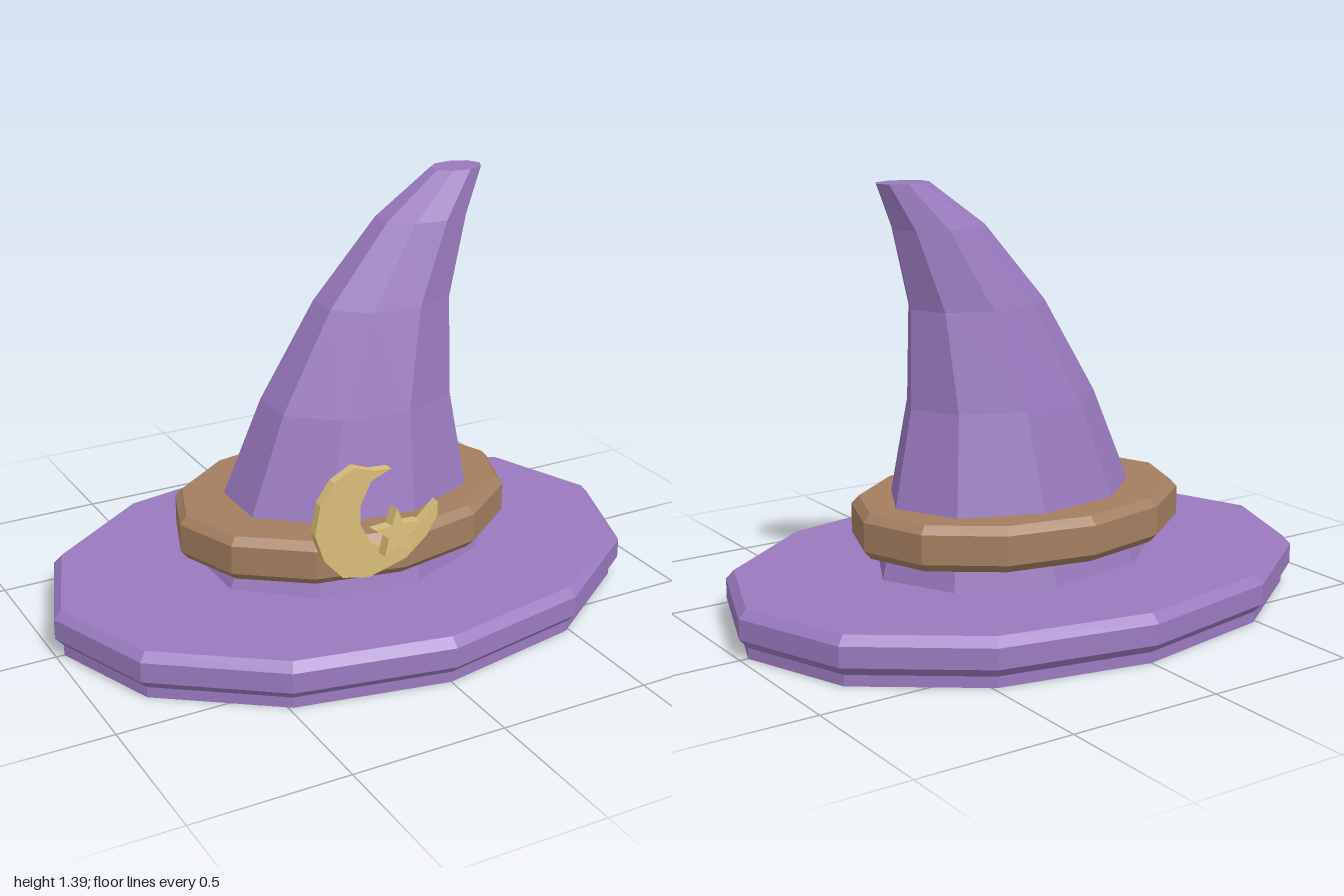
import * as THREE from 'three';

const material = (color) => new THREE.MeshStandardMaterial({ color, flatShading: true });

// Closed solid through stacked elliptical rings [y, centreX, radiusX, radiusZ]
function loft(rings, sides) {
  const pos = [];
  const point = ([y, cx, rx, rz], i) => {
    const a = (i / sides) * Math.PI * 2;
    return [cx + rx * Math.cos(a), y, rz * Math.sin(a)];
  };
  const tri = (a, b, c) => pos.push(...a, ...b, ...c);
  const low = rings[0], top = rings[rings.length - 1];
  for (let i = 0; i < sides; i++) {
    for (let r = 0; r < rings.length - 1; r++) {
      const a = point(rings[r], i), b = point(rings[r + 1], i);
      const c = point(rings[r + 1], i + 1), d = point(rings[r], i + 1);
      tri(a, b, c);
      tri(a, c, d);
    }
    tri([low[1], low[0], 0], point(low, i), point(low, i + 1));
    tri([top[1], top[0], 0], point(top, i + 1), point(top, i));
  }
  const g = new THREE.BufferGeometry();
  g.setAttribute('position', new THREE.Float32BufferAttribute(pos, 3));
  g.computeVertexNormals();
  return g;
}

// Flat plate cut from an outline
function plate(points, depth) {
  const shape = new THREE.Shape(points.map(([x, y]) => new THREE.Vector2(x, y)));
  return new THREE.ExtrudeGeometry(shape, { depth, bevelEnabled: false });
}

export function createModel() {
  const hat = new THREE.Group();
  hat.name = 'wizardHat';
  const purple = material(0x9a7abf);
  const brown = material(0xa37e60);
  const gold = material(0xd8bc78);

  const add = (name, geometry, mat) => {
    const mesh = new THREE.Mesh(geometry, mat);
    mesh.name = name;
    hat.add(mesh);
    return mesh;
  };

  // Oval brim with a stepped lower edge
  add('brim', loft([
    [0, 0, 0.973, 0.708],
    [0.035, 0, 0.973, 0.708],
    [0.065, 0, 1, 0.738],
    [0.13, 0, 1, 0.738],
    [0.158, 0, 0.975, 0.71],
  ], 12), purple);

  // Bent, tapering crown
  add('crown', loft([
    [0.1, 0.003, 0.515, 0.373],
    [0.38, 0.03, 0.425, 0.308],
    [0.69, 0.065, 0.33, 0.238],
    [1.0, 0.155, 0.235, 0.169],
    [1.25, 0.293, 0.157, 0.113],
    [1.39, 0.417, 0.088, 0.064],
  ], 9), purple);

  // Bevelled band
  add('band', loft([
    [0.235, 0, 0.547, 0.402],
    [0.262, 0, 0.57, 0.428],
    [0.355, 0, 0.57, 0.428],
    [0.38, 0, 0.547, 0.402],
  ], 12), brown);

  // Crescent moon: outer edge anticlockwise, then the inner edge back
  const moon = add('moon', plate([
    [-0.067, 0.617], [-0.13, 0.622], [-0.19, 0.645], [-0.26, 0.61], [-0.307, 0.545],
    [-0.325, 0.45], [-0.295, 0.36], [-0.232, 0.29], [-0.14, 0.27], [-0.01, 0.305],
    [0.062, 0.365], [0.1, 0.425], [0.1, 0.472],
    [0.01, 0.39], [-0.067, 0.347], [-0.135, 0.385], [-0.172, 0.455],
    [-0.172, 0.515], [-0.135, 0.59],
  ], 0.031), gold);
  moon.position.z = 0.416;

  // Five-pointed star, leaning back slightly
  const starPoints = [];
  for (let i = 0; i < 10; i++) {
    const r = i % 2 ? 0.034 : 0.081;
    const a = Math.PI / 2 + (i * Math.PI) / 5;
    starPoints.push([r * Math.cos(a), r * Math.sin(a)]);
  }
  const star = add('star', plate(starPoints, 0.04).translate(0, 0, -0.02), gold);
  star.position.set(-0.066, 0.419, 0.472);
  star.rotation.x = -0.09;

  return hat;
}
